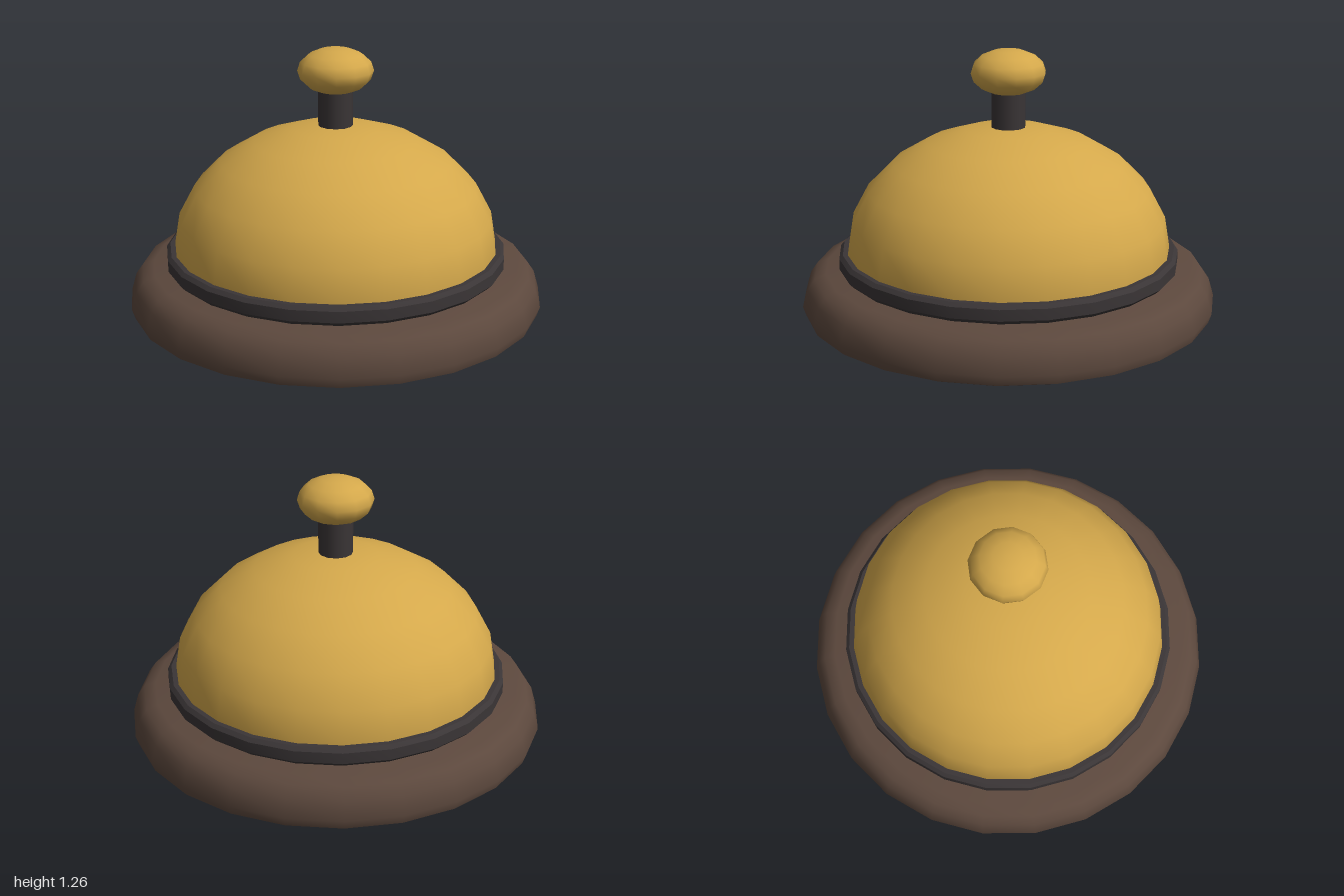
import * as THREE from 'three';
import { toCreasedNormals } from 'three/addons/utils/BufferGeometryUtils.js';

const material = (name, color) => {
  const m = new THREE.MeshStandardMaterial({ color });
  m.name = name;
  return m;
};

// Turned part from a list of [radius, height], running bottom to top
const turned = (profile, sides, crease = 0.7) =>
  toCreasedNormals(
    new THREE.LatheGeometry(profile.map(([r, y]) => new THREE.Vector2(r, y)), sides),
    crease
  );

export function createModel() {
  const brass = material('brass', 0xd4a84b);
  const wood = material('dark wood', 0x5c483d);
  const iron = material('dark metal', 0x3a3536);

  const bell = new THREE.Group();
  bell.name = 'deskBell';
  const add = (name, geometry, mat, y = 0) => {
    const mesh = new THREE.Mesh(geometry, mat);
    mesh.name = name;
    mesh.position.y = y;
    bell.add(mesh);
    return mesh;
  };

  // Rounded wooden base with a flat underside
  add('base', turned([
    [0, 0], [0.955, 0], [0.985, 0.015], [1, 0.06],
    [0.975, 0.145], [0.94, 0.195], [0.885, 0.215], [0, 0.215],
  ], 24), wood);

  // Metal ring with softened edges
  add('ring', turned([
    [0, 0.215], [0.8, 0.215], [0.82, 0.235],
    [0.82, 0.288], [0.803, 0.305], [0, 0.305],
  ], 24), iron);

  // Half-ellipsoid bell
  const dome = new THREE.SphereGeometry(0.78, 24, 6, 0, Math.PI * 2, 0, Math.PI / 2);
  dome.scale(1, 0.6 / 0.78, 1);
  add('dome', dome, brass, 0.3);

  // Plunger stem and knob
  add('stem', new THREE.CylinderGeometry(0.082, 0.082, 0.22, 12), iron, 0.98);
  const knob = new THREE.SphereGeometry(0.18, 12, 8);
  knob.scale(1, 0.11 / 0.18, 1);
  add('knob', knob, brass, 1.155);

  return bell;
}
